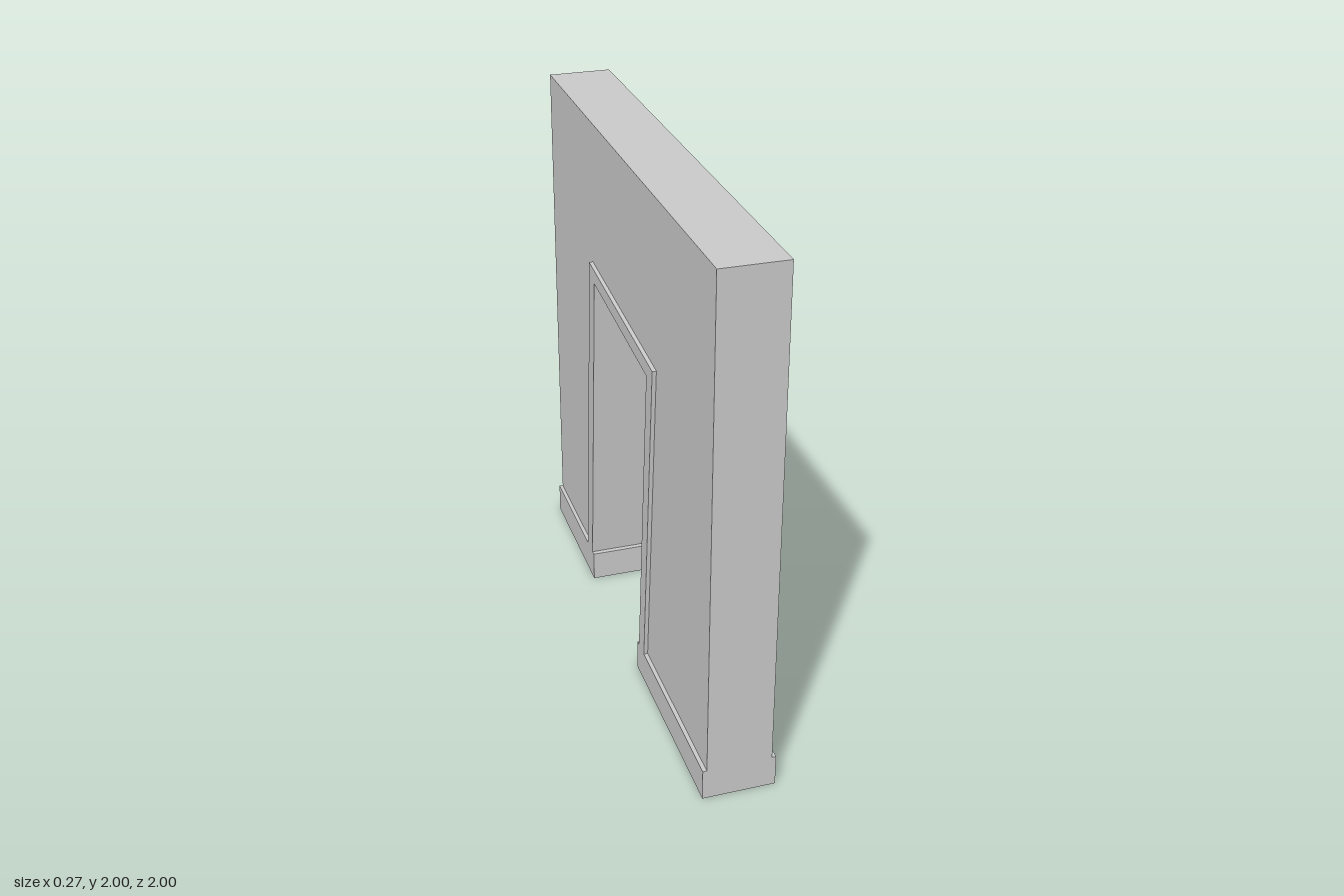
import * as THREE from 'three';

const BASE_H = 0.12;
const WALL_W = 0.24;
const TRIM_W = 0.27;

// Extrudes a (z, y) outline across x, centred on x = 0
function slab(name, outline, width, material) {
  const shape = new THREE.Shape(outline.map(([z, y]) => new THREE.Vector2(z, y)));
  const geometry = new THREE.ExtrudeGeometry(shape, { depth: width, bevelEnabled: false });
  geometry.translate(0, 0, -width / 2).rotateY(-Math.PI / 2);
  const mesh = new THREE.Mesh(geometry, material);
  mesh.name = name;
  return mesh;
}

export function createModel() {
  const group = new THREE.Group();
  group.name = 'doorwayWall';
  const material = new THREE.MeshStandardMaterial({ color: 0xcccccc, flatShading: true });

  // Leaning doorway: outer and inner edges of the frame, front foot to back foot
  const outer = [[0.30, BASE_H], [0.41, 1.38], [-0.40, 1.45], [-0.51, BASE_H]];
  const inner = [[0.235, BASE_H], [0.34, 1.33], [-0.33, 1.39], [-0.44, BASE_H]];

  // Wall around the frame
  const wallOutline = [[-1, BASE_H], [-1, 2], [1, 2], [1, BASE_H], ...outer];
  group.add(slab('wall', wallOutline, WALL_W, material));

  // Frame, slightly proud of the wall on both sides
  group.add(slab('doorFrame', [...outer, ...[...inner].reverse()], TRIM_W, material));

  // Plinths under the two wall legs
  for (const [name, z0, z1] of [['frontPlinth', 0.215, 1], ['backPlinth', -1, -0.42]]) {
    const plinth = new THREE.Mesh(new THREE.BoxGeometry(TRIM_W, BASE_H, z1 - z0), material);
    plinth.position.set(0, BASE_H / 2, (z0 + z1) / 2);
    plinth.name = name;
    group.add(plinth);
  }
  return group;
}
